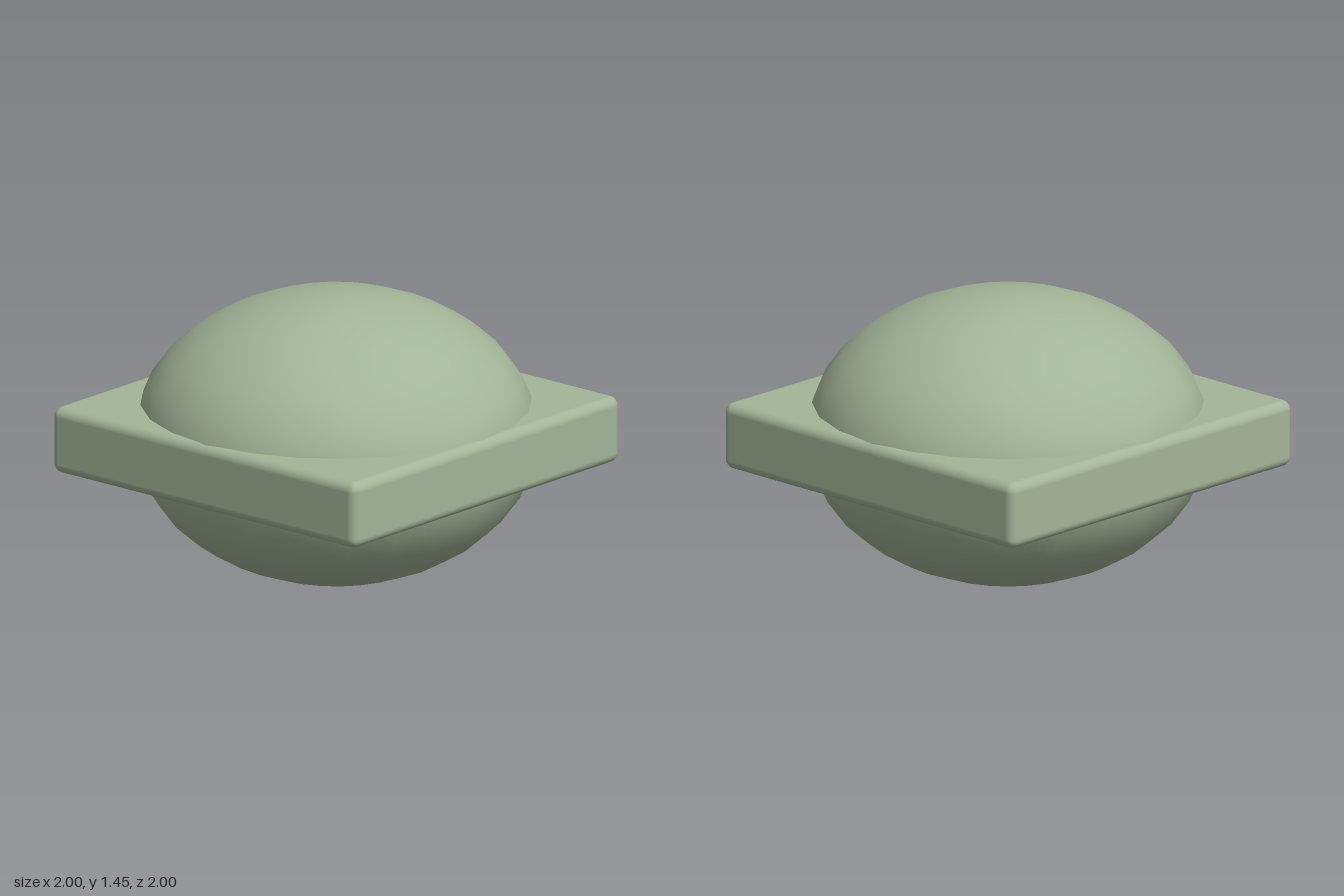
import * as THREE from 'three';
import { RoundedBoxGeometry } from 'three/addons/geometries/RoundedBoxGeometry.js';

export function createModel() {
  const model = new THREE.Group();
  const material = new THREE.MeshStandardMaterial({ color: 0xa3b598 });
  const centreY = 0.725;

  // Flattened ball, smooth shaded, resting on the ground
  const ball = new THREE.Mesh(new THREE.SphereGeometry(1, 24, 16), material);
  ball.name = 'flattenedBall';
  ball.scale.y = 0.725;
  ball.position.y = centreY;

  // Square slab with rounded edges around the ball's middle
  const slab = new THREE.Mesh(new RoundedBoxGeometry(2, 0.34, 2, 4, 0.05), material);
  slab.name = 'squareSlab';
  slab.position.y = centreY;

  model.add(ball, slab);
  return model;
}
